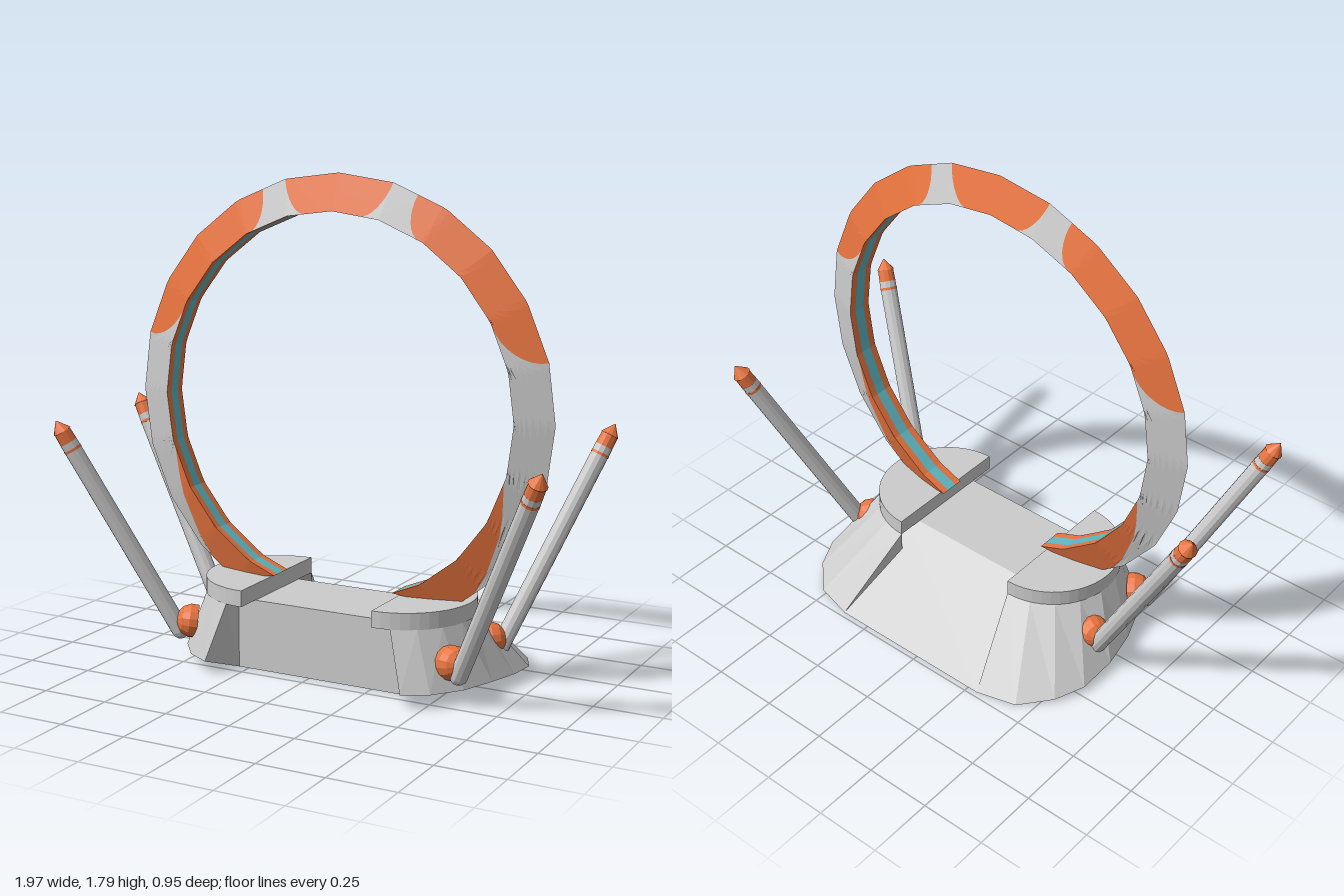
import * as THREE from 'three';

const CX = 0.04;                 // ring and base axis
const RING_Y = 0.97, RING_Z = 0.05, OUTER = 0.82, INNER = 0.69, HALF = 0.05;
const rad = THREE.MathUtils.degToRad;

const mat = (color) => new THREE.MeshStandardMaterial({ color, side: THREE.DoubleSide, flatShading: true });
const grey = mat(0xcccccc), orange = mat(0xe8743f), teal = mat(0x5fb8c4);

function add(parent, name, geometry, material) {
  const mesh = new THREE.Mesh(geometry, material);
  mesh.name = name;
  parent.add(mesh);
  return mesh;
}

// Surface from a grid function f(u, v) -> [x, y, z], faceted
function sheet(f, nu, nv) {
  const pos = [], idx = [];
  for (let i = 0; i <= nu; i++) for (let j = 0; j <= nv; j++) pos.push(...f(i / nu, j / nv));
  for (let i = 0; i < nu; i++) for (let j = 0; j < nv; j++) {
    const a = i * (nv + 1) + j, b = a + nv + 1;
    idx.push(a, b, a + 1, b, b + 1, a + 1);
  }
  return finish(pos, idx);
}

function finish(pos, idx) {
  const g = new THREE.BufferGeometry();
  g.setAttribute('position', new THREE.Float32BufferAttribute(pos, 3));
  g.setIndex(idx);
  const flat = g.toNonIndexed();
  flat.computeVertexNormals();
  return flat;
}

// Point on the 24-sided ring: degrees from the top, radius, z offset
function ringPoint(deg, radius, z, side) {
  const m = ((deg % 15) + 15) % 15;
  const r = radius * Math.cos(rad(7.5)) / Math.cos(rad(m - 7.5));
  return [CX + side * r * Math.sin(rad(deg)), RING_Y + r * Math.cos(rad(deg)), RING_Z + z];
}

function buildRing() {
  const ring = new THREE.Group();
  ring.name = 'ring';
  // Band borders as [outer angle, inner angle, rounded]
  const borders = [[0, 0], [15, 9, 1], [22, 29, 1], [75, 61, 1], [139, 107], [143.5, 159.5]];
  const angle = ([o, i, round], t) => o + (i - o) * (round ? 1 - Math.sqrt(1 - t * t) : t);
  for (const side of [-1, 1]) {
    for (const face of [-1, 1]) {
      for (let k = 0; k < borders.length - 1; k++) {
        const g = sheet((u, v) => {
          const t = Math.sin(v * Math.PI / 2);
          const a = THREE.MathUtils.lerp(angle(borders[k], t), angle(borders[k + 1], t), u);
          return ringPoint(a, OUTER + (INNER - OUTER) * t, face * HALF * t, side);
        }, 30, 8);
        add(ring, k % 2 ? 'ringPanel' : 'ringColourPanel', g, k % 2 ? grey : orange);
      }
    }
    // Inner face: glowing strip between two borders
    [[-HALF, -0.022, orange], [-0.022, 0.022, teal], [0.022, HALF, orange]].forEach(([z0, z1, m]) =>
      add(ring, m === teal ? 'innerStrip' : 'innerBorder',
        sheet((u, v) => ringPoint(u * 159.5, INNER, z0 + (z1 - z0) * v, side), 53, 1), m));
  }
  return ring;
}

// Half-round pedestal with a skirt that spreads to the back; open below
function buildPedestal(side) {
  const p = new THREE.Group();
  p.name = side > 0 ? 'leftPedestal' : 'rightPedestal';
  const shape = new THREE.Shape();
  shape.absarc(0.26, 0, 0.26, -Math.PI / 2, Math.PI / 2, false);
  shape.closePath();
  const slab = new THREE.ExtrudeGeometry(shape, { depth: 0.06, bevelEnabled: false, curveSegments: 12 });
  slab.rotateX(-Math.PI / 2);
  slab.translate(0, 0.26, 0.04);
  add(p, 'pedestalCap', slab, grey);

  const rim = [[0.39, 0.05, 0.34], [0.48, 0.05, 0.29], [0.56, 0.05, 0.19], [0.61, 0.05, 0.06], [0.635, 0.04, -0.08],
    [0.63, 0.025, -0.23], [0.58, 0.015, -0.34], [0.48, 0, -0.44], [0.33, 0, -0.48]];
  const n = rim.length - 1;
  const top = (i) => {
    const a = rad(75 - 165 * i / n);
    return [0.26 + 0.26 * Math.cos(a), 0.26, 0.04 + 0.26 * Math.sin(a)];
  };
  add(p, 'skirt', sheet((u, v) => {
    const i = Math.round(u * n);
    return v < 0.5 ? top(i) : rim[i];
  }, n, 1), grey);
  // End walls joining the skirt to the bridge
  const wall = [...top(0), ...rim[0], 0.33, 0, 0.2, 0.33, 0.26, 0.2,
    ...top(n), ...rim[n], 0.26, 0.18, -0.22];
  add(p, 'skirtEnds', finish(wall, [0, 1, 2, 0, 2, 3, 4, 5, 6]), grey);
  p.position.x = CX;
  p.scale.x = side;
  return p;
}

// Bridge: front wall, flat top, long back slope; open below
function buildBridge() {
  const profile = [[0, 0.2], [0.26, 0.2], [0.26, -0.12], [0, -0.48]];
  const g = sheet((u, v) => {
    const [y, z] = profile[Math.round(u * 3)];
    return [CX + 0.33 * (2 * v - 1), y, z];
  }, 3, 1);
  return new THREE.Mesh(g, grey);
}

// Slanted rod with a coloured tip, standing in a domed socket
function buildRod(name, base, tip, socket) {
  const rod = new THREE.Group();
  rod.name = name;
  const up = new THREE.Vector3(0, 1, 0);
  const a = new THREE.Vector3(...base), b = new THREE.Vector3(...tip);
  const len = a.distanceTo(b), R = 0.033;
  const shaft = new THREE.Group();
  shaft.name = 'shaft';
  const tube = (part, y0, y1, r0, r1, m) => {
    const g = new THREE.CylinderGeometry(r1, r0, y1 - y0, 12);
    g.translate(0, (y0 + y1) / 2, 0);
    add(shaft, part, g, m);
  };
  tube('rodBody', 0, len - 0.08, R, R, grey);
  tube('rodBand', len - 0.115, len - 0.105, R + 0.001, R + 0.001, orange);
  tube('rodTip', len - 0.09, len - 0.035, R, R * 0.95, orange);
  tube('rodPoint', len - 0.035, len + 0.008, R * 1.05, 0.002, orange);
  add(shaft, 'rodFoot', new THREE.SphereGeometry(R, 12, 8), grey);
  shaft.position.copy(a);
  shaft.quaternion.setFromUnitVectors(up, b.clone().sub(a).normalize());
  rod.add(shaft);

  const profile = [[0, -0.02], [0.06, -0.02], [0.062, 0.01], [0.05, 0.038], [0.028, 0.055], [0, 0.06]];
  const dome = add(rod, 'socket',
    new THREE.LatheGeometry(profile.map(([x, y]) => new THREE.Vector2(x, y)), 14), orange);
  dome.position.set(...socket);
  const out = new THREE.Vector3(socket[0] - CX - Math.sign(socket[0]) * 0.26, 0.04, socket[2] - 0.04);
  dome.quaternion.setFromUnitVectors(up, out.normalize());
  return rod;
}

export function createModel() {
  const model = new THREE.Group();
  model.name = 'ringGate';
  model.add(buildRing(), buildPedestal(1), buildPedestal(-1));
  const bridge = buildBridge();
  bridge.name = 'bridge';
  model.add(bridge);
  model.add(
    buildRod('frontLeftRod', [0.595, 0.11, 0.22], [0.97, 0.89, 0.445], [0.56, 0.145, 0.2]),
    buildRod('frontRightRod', [-0.53, 0.11, 0.22], [-0.9, 0.89, 0.44], [-0.49, 0.145, 0.2]),
    buildRod('backLeftRod', [0.595, 0.11, -0.13], [0.89, 0.89, -0.445], [0.565, 0.145, -0.11]),
    buildRod('backRightRod', [-0.54, 0.11, -0.09], [-0.97, 0.89, -0.19], [-0.505, 0.145, -0.08]));
  return model;
}
